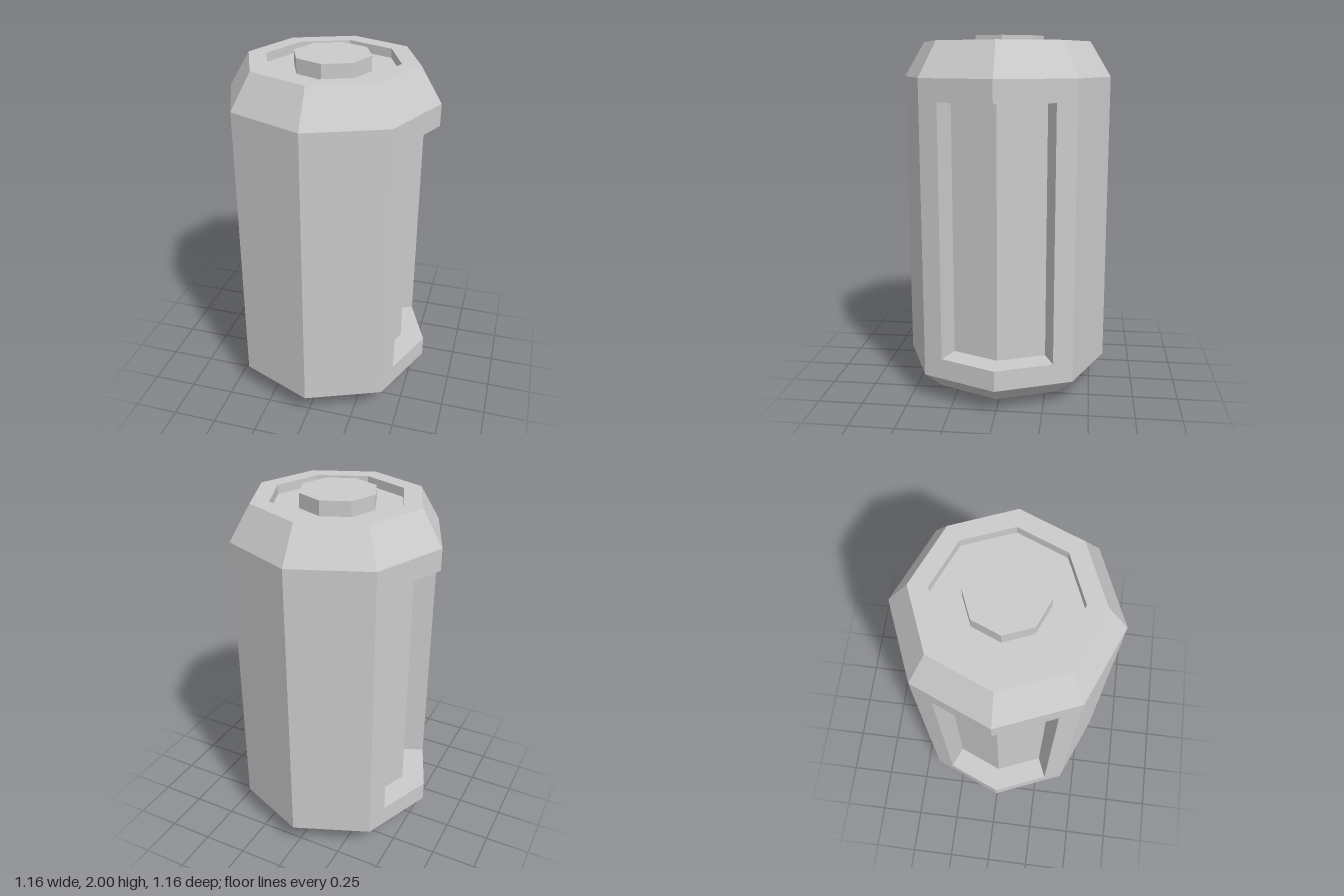
import * as THREE from 'three';

const R = 0.58;              // corner radius of the octagonal body
const LOW = 0.265, HIGH = 1.66; // bottom and top of the side windows
const C = R * Math.SQRT1_2;

const material = new THREE.MeshStandardMaterial({ color: 0xcccccc, flatShading: true });

function addMesh(group, name, geometry) {
  const flat = geometry.index ? geometry.toNonIndexed() : geometry;
  flat.computeVertexNormals();
  const mesh = new THREE.Mesh(flat, material);
  mesh.name = name;
  group.add(mesh);
  return mesh;
}

// Eight-sided surface of revolution, profile given as [radius, height] from bottom to top
function octagon(profile) {
  return new THREE.LatheGeometry(profile.map(([r, y]) => new THREE.Vector2(r, y)), 8);
}

// Vertical walls along a closed outline of [x, z] points
function walls(outline, y0, y1) {
  const pos = [];
  outline.forEach(([x, z], i) => {
    const [u, w] = outline[(i + 1) % outline.length];
    pos.push(x, y0, z, x, y1, z, u, y0, w);
    pos.push(x, y1, z, u, y1, w, u, y0, w);
  });
  const geometry = new THREE.BufferGeometry();
  geometry.setAttribute('position', new THREE.Float32BufferAttribute(pos, 3));
  return geometry;
}

export function createModel() {
  const group = new THREE.Group();

  // Window recess, sunk at right angles to the two faces beside a corner
  const recess = [[0.454, -0.305], [0.334, -0.255], [0.439, 0], [0.334, 0.255], [0.454, 0.305]];
  const half = [...recess, [C, C], [0, R], [-C, C]];
  const outline = [...half, ...half.map(([x, z]) => [-x, -z])];
  addMesh(group, 'bodyWalls', walls(outline, LOW, HIGH));

  // Chamfered ends
  addMesh(group, 'lowerEnd', octagon([[0.36, 0.05], [0.465, 0.05], [R, 0.15], [R, LOW]]));
  addMesh(group, 'upperEnd', octagon([
    [R, HIGH], [R, 1.78], [0.465, 1.97], [0.365, 1.97], [0.365, 1.92], [0.21, 1.92],
  ]));

  // Base foot and raised top button
  addMesh(group, 'foot', octagon([[0, 0], [0.36, 0], [0.36, 0.05]]));
  addMesh(group, 'topButton', octagon([[0.21, 1.92], [0.21, 2], [0, 2]]));

  // Sills and headers closing the ends of both windows
  const ledge = new THREE.Shape([...recess, [R, 0]].map(([x, z]) => new THREE.Vector2(x, z)));
  for (const [side, turn] of [['left', 0], ['right', Math.PI]]) {
    const sill = new THREE.ShapeGeometry(ledge).rotateX(-Math.PI / 2).translate(0, LOW, 0);
    const header = new THREE.ShapeGeometry(ledge).rotateX(Math.PI / 2).translate(0, HIGH, 0);
    addMesh(group, side + 'WindowSill', sill.rotateY(turn));
    addMesh(group, side + 'WindowHeader', header.rotateY(turn));
  }

  return group;
}
